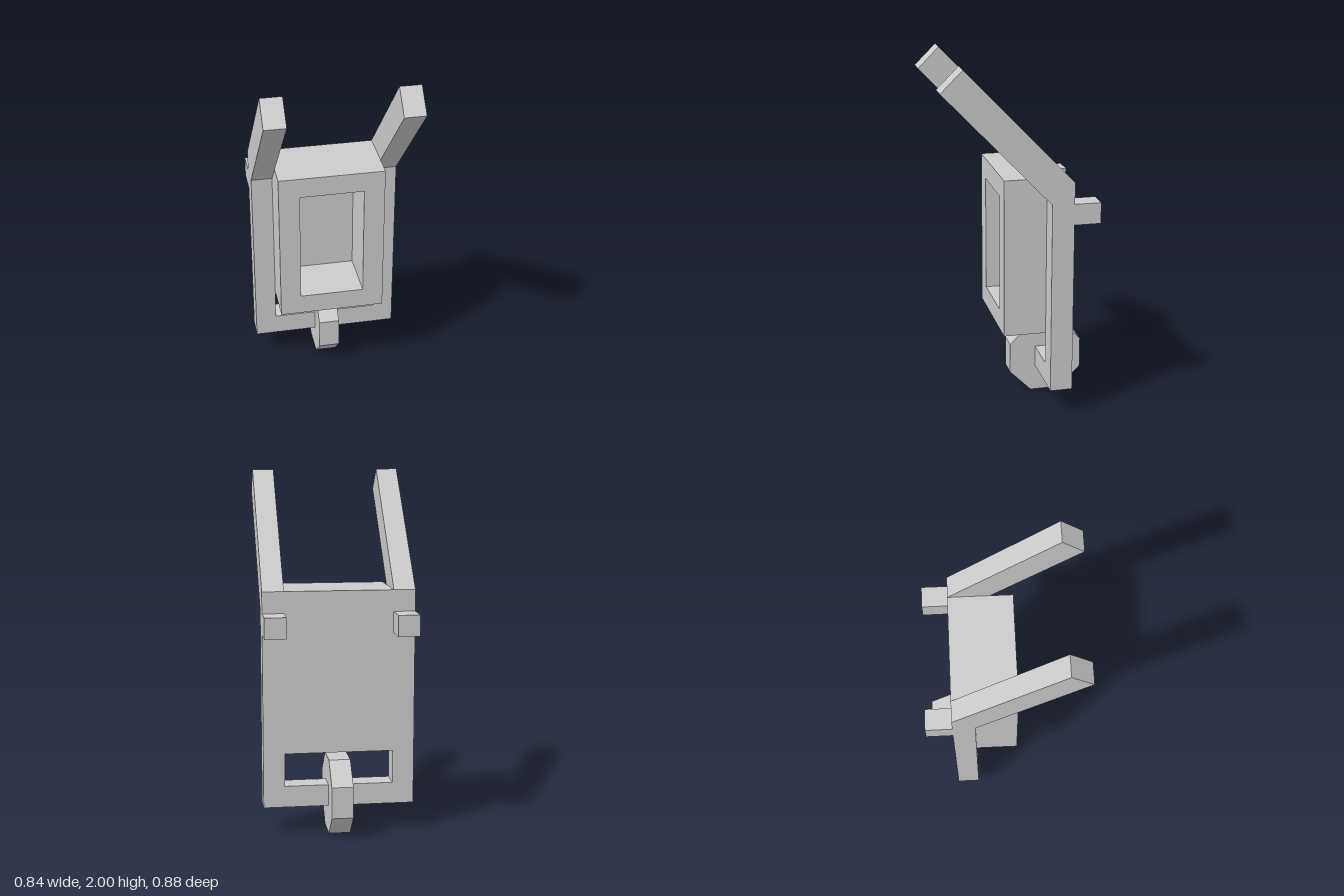
import * as THREE from 'three';

const material = new THREE.MeshStandardMaterial({ color: 0xcccccc, flatShading: true });

export function createModel() {
  const model = new THREE.Group();

  const add = (name, geometry) => {
    const mesh = new THREE.Mesh(geometry, material);
    mesh.name = name;
    model.add(mesh);
    return mesh;
  };

  // box given by its lower and upper limits on each axis
  const block = (name, [x0, x1], [y0, y1], [z0, z1]) => {
    const mesh = add(name, new THREE.BoxGeometry(x1 - x0, y1 - y0, z1 - z0));
    mesh.position.set((x0 + x1) / 2, (y0 + y1) / 2, (z0 + z1) / 2);
  };

  const rect = (Type, w, y0, y1) => new Type([[-w, y0], [w, y0], [w, y1], [-w, y1]]
    .map(([x, y]) => new THREE.Vector2(x, y)));

  const railWidth = 0.12;
  const railBack = -0.29, railFront = -0.165;
  const pocketBack = -0.23, bodyFront = 0.075;

  // body: front frame around a deep pocket, closed by a back plate
  const frame = rect(THREE.Shape, 0.302, 0.46, 1.365);
  frame.holes.push(rect(THREE.Path, 0.183, 0.578, 1.247));
  add('bodyFrame', new THREE.ExtrudeGeometry(frame, { depth: bodyFront - pocketBack, bevelEnabled: false })
    .translate(0, 0, pocketBack));
  block('bodyBack', [-0.302, 0.302], [0.46, 1.365], [railBack, pocketBack]);

  // side rails bending forward into raised arms, profile in (z, y)
  const profile = [
    [railFront, 0.155], [railBack, 0.155], [railBack, 1.365],
    [0.317, 2], [0.438, 1.88], [railFront, 1.247],
  ];
  const railShape = new THREE.Shape(profile.map(([z, y]) => new THREE.Vector2(-z, y)));
  for (const [side, s] of [['left', 1], ['right', -1]]) {
    const x = s * 0.362;
    add(side + 'RailAndArm', new THREE.ExtrudeGeometry(railShape, { depth: railWidth, bevelEnabled: false })
      .rotateY(Math.PI / 2).translate(x - railWidth / 2, 0, 0));
    // peg behind the top of each rail
    block(side + 'Peg', [x - railWidth / 2, x + railWidth / 2], [1.127, 1.245], [-0.438, railBack]);
  }

  // axle bar joining the rails
  block('axleBar', [-0.302, 0.302], [0.155, 0.275], [railBack, railFront]);

  // eight-sided wheel with flats at top, bottom, front and back
  const wheel = new THREE.CylinderGeometry(0.229, 0.229, 0.12, 8)
    .rotateY(Math.PI / 8).rotateZ(Math.PI / 2);
  add('wheel', wheel).position.set(0, 0.212, -0.227);

  return model;
}
